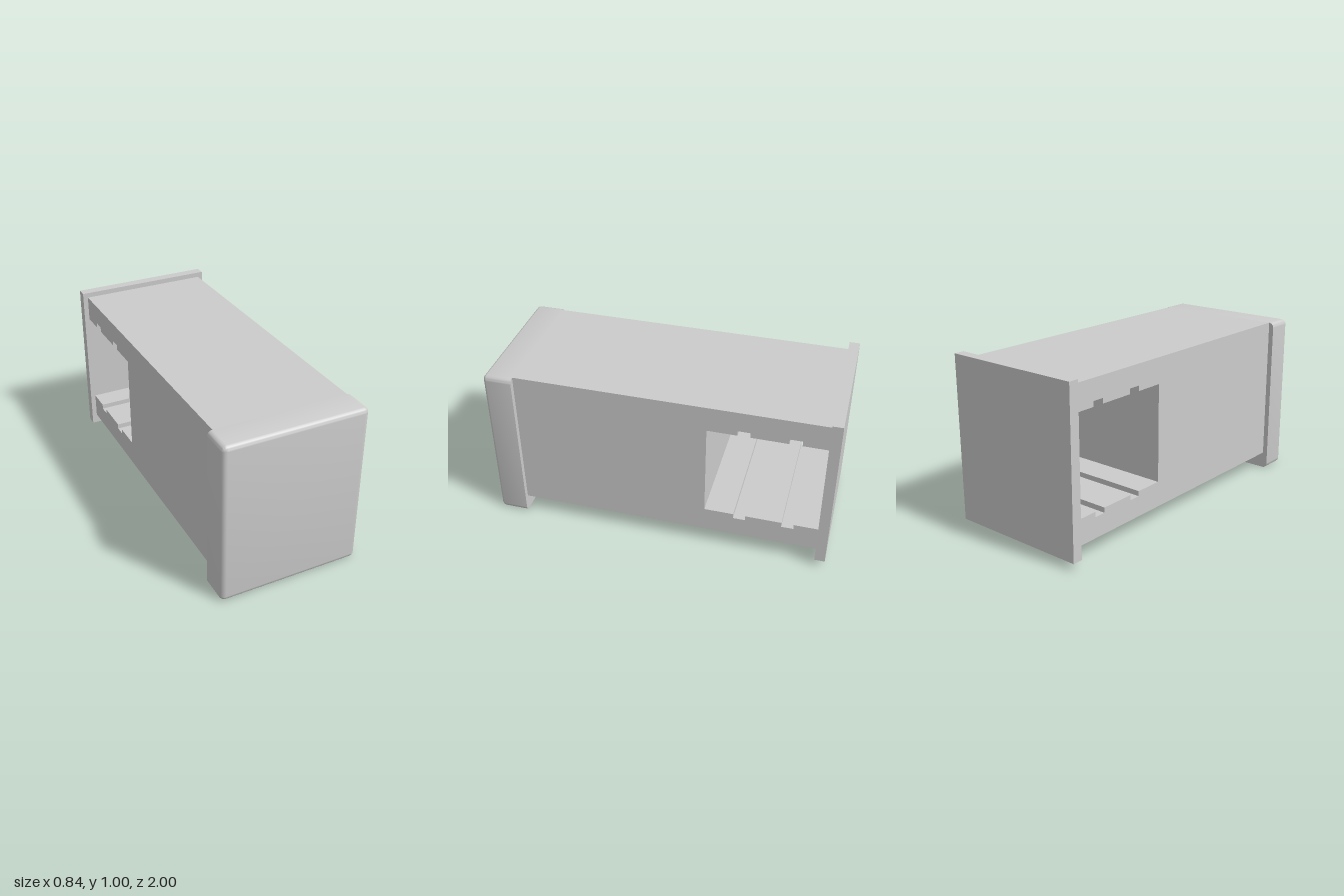
import * as THREE from 'three';
import { toCreasedNormals } from 'three/addons/utils/BufferGeometryUtils.js';

const material = new THREE.MeshStandardMaterial({ color: 0xcccccc });

function add(group, name, geometry, x = 0, y = 0, z = 0) {
  const mesh = new THREE.Mesh(geometry, material);
  mesh.name = name;
  mesh.position.set(x, y, z);
  group.add(mesh);
}

// Side profile (z, y) with a notched window open towards the back, extruded across x
function bodyGeometry() {
  const back = -0.94, front = 0.83, windowFront = -0.28;
  const slots = [[-0.45, -0.52], [-0.73, -0.8]];
  const edge = (y, slotY) => [
    [windowFront, y],
    ...slots.flatMap(([a, b]) => [[a, y], [a, slotY], [b, slotY], [b, y]]),
    [back, y],
  ];
  const outline = [
    [back, 0.1], [front, 0.1], [front, 0.97], [back, 0.97],
    ...edge(0.82, 0.85).reverse(),
    ...edge(0.25, 0.22),
  ];
  const shape = new THREE.Shape(outline.map(([z, y]) => new THREE.Vector2(z, y)));
  const geometry = new THREE.ExtrudeGeometry(shape, { depth: 0.78, bevelEnabled: false });
  return geometry.translate(0, 0, -0.39).rotateY(-Math.PI / 2);
}

// Rounded rectangle lofted along z: square rear edge, rounded front edge
function frontPanelGeometry(w, h, depth, r) {
  const steps = 6, count = 4 * (steps + 1);
  const rings = [[0, 0, 0], [1, 0, 0]]; // [scale, inset, z]
  for (let i = 0; i <= steps; i++) {
    const a = (i / steps) * Math.PI / 2;
    rings.push([1, r * (1 - Math.cos(a)), depth - r + r * Math.sin(a)]);
  }
  rings.push([0, r, depth]);

  const positions = [], index = [];
  for (const [scale, inset, z] of rings) {
    for (let c = 0; c < 4; c++) {
      const sx = c === 0 || c === 3 ? 1 : -1, sy = c < 2 ? 1 : -1;
      for (let i = 0; i <= steps; i++) {
        const a = (c + i / steps) * Math.PI / 2;
        positions.push(
          scale * (sx * (w / 2 - r) + (r - inset) * Math.cos(a)),
          scale * (sy * (h / 2 - r) + (r - inset) * Math.sin(a)), z);
      }
    }
  }
  for (let k = 0; k < rings.length - 1; k++) {
    for (let i = 0; i < count; i++) {
      const a = k * count + i, b = k * count + (i + 1) % count;
      index.push(a, b, b + count, a, b + count, a + count);
    }
  }
  const geometry = new THREE.BufferGeometry();
  geometry.setAttribute('position', new THREE.Float32BufferAttribute(positions, 3));
  geometry.setIndex(index);
  return toCreasedNormals(geometry, 0.6);
}

export function createModel() {
  const group = new THREE.Group();
  group.name = 'enclosure';

  add(group, 'body', bodyGeometry());
  add(group, 'frontPanel', frontPanelGeometry(0.84, 0.97, 0.17, 0.03), 0, 0.485, 0.83);
  add(group, 'backPlate', new THREE.BoxGeometry(0.84, 0.96, 0.06), 0, 0.52, -0.97);

  // Two runners under the body
  for (const side of [-1, 1]) {
    add(group, side > 0 ? 'leftRunner' : 'rightRunner',
      new THREE.BoxGeometry(0.16, 0.03, 1.77), side * 0.18, 0.085, -0.055);
  }
  return group;
}
